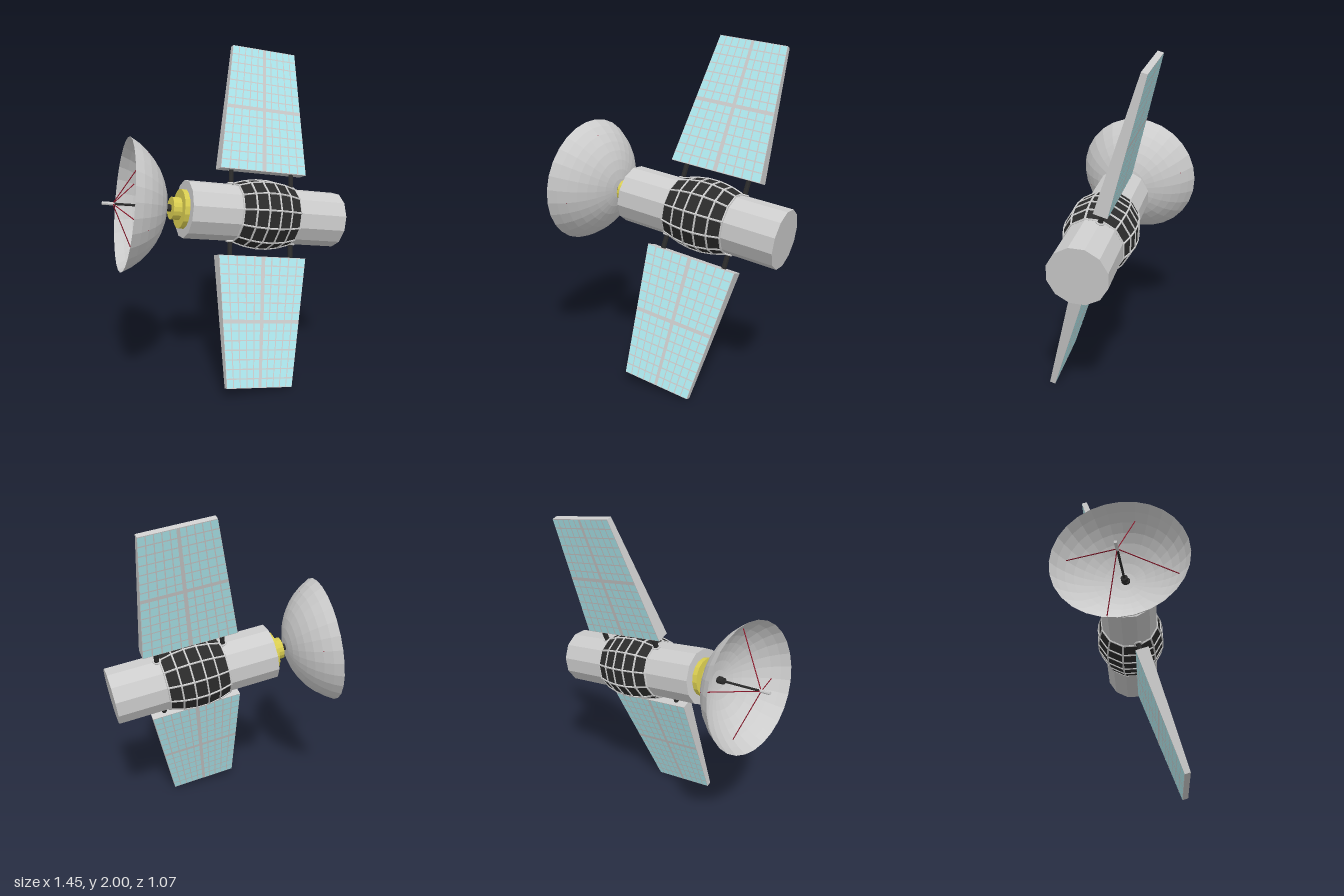
import * as THREE from 'three';
import { mergeGeometries } from 'three/addons/utils/BufferGeometryUtils.js';

const V = (x, y, z) => new THREE.Vector3(x, y, z);
const mat = (color, extra = {}) => new THREE.MeshStandardMaterial({ color, flatShading: true, ...extra });
const grey = mat(0xcccccc);
const greyThin = mat(0xcccccc, { side: THREE.DoubleSide });
const dark = mat(0x2b2b2b);
const yellow = mat(0xd8cc50);
const cyan = mat(0xaeeaf0);
const lineGrey = mat(0xbcbcbc);
const red = mat(0x8a1528);

function add(parent, name, geometry, material) {
  const mesh = new THREE.Mesh(geometry, material);
  mesh.name = name;
  parent.add(mesh);
  return mesh;
}

// Round bar running from p to q
function bar(p, q, r, sides = 8) {
  const dir = q.clone().sub(p);
  const g = new THREE.CylinderGeometry(r, r, dir.length(), sides);
  g.applyQuaternion(new THREE.Quaternion().setFromUnitVectors(V(0, 1, 0), dir.clone().normalize()));
  const m = p.clone().add(q).multiplyScalar(0.5);
  return g.translate(m.x, m.y, m.z);
}

// Cylinder along the body axis (local x)
function axial(r, x0, x1, sides) {
  return bar(V(x0, 0, 0), V(x1, 0, 0), r, sides);
}

// Tapered solar panel: s runs across (-1..1), v runs outward (0..1)
const IN = 0.256, OUT = 1.022;
const halfWidth = v => THREE.MathUtils.lerp(0.284, 0.209, v);
const halfThick = v => THREE.MathUtils.lerp(0.04, 0.017, v);

function patch(s0, s1, v0, v1, side, lift) {
  const at = (s, v) => [s * halfWidth(v), THREE.MathUtils.lerp(IN, OUT, v), side * (halfThick(v) + lift)];
  const a = at(s0, v0), b = at(s1, v0), c = at(s1, v1), d = at(s0, v1);
  const order = side > 0 ? [a, b, c, a, c, d] : [a, c, b, a, d, c];
  const g = new THREE.BufferGeometry();
  g.setAttribute('position', new THREE.Float32BufferAttribute(order.flat(), 3));
  g.computeVertexNormals();
  return g;
}

function solarPanel() {
  const panel = new THREE.Group();
  const slab = new THREE.BoxGeometry(2, 1, 2);
  const p = slab.attributes.position;
  for (let i = 0; i < p.count; i++) {
    const v = p.getY(i) + 0.5;
    p.setXYZ(i, p.getX(i) * halfWidth(v), THREE.MathUtils.lerp(IN, OUT, v), p.getZ(i) * halfThick(v));
  }
  add(panel, 'panelSlab', slab, grey);

  // Cell faces and their grid on both sides
  const cells = [], lines = [];
  const columns = 10, rows = 14;
  for (const side of [1, -1]) {
    cells.push(patch(-0.99, 0.99, 0.005, 0.995, side, 0.001));
    for (let i = 1; i < columns; i++) {
      const s = -1 + 2 * i / columns, w = i === columns / 2 ? 0.045 : 0.014;
      lines.push(patch(s - w, s + w, 0.005, 0.995, side, 0.002));
    }
    for (let j = 1; j < rows; j++) {
      const v = j / rows, w = j === rows / 2 ? 0.014 : 0.0045;
      lines.push(patch(-0.99, 0.99, v - w, v + w, side, 0.0025));
    }
  }
  add(panel, 'solarCells', mergeGeometries(cells), cyan);
  add(panel, 'cellGrid', mergeGeometries(lines), lineGrey);

  // Two struts with collars at the body
  for (const x of [-0.2, 0.2]) {
    add(panel, 'strut', bar(V(x, 0.15, 0), V(x, 0.29, 0), 0.015), dark);
    const collar = add(panel, 'strutCollar', new THREE.TorusGeometry(0.021, 0.006, 6, 14), grey);
    collar.rotation.x = Math.PI / 2;
    collar.position.set(x, 0.172, 0);
  }
  return panel;
}

// Bulging dark middle section with a raised grid
function bulge() {
  const group = new THREE.Group();
  group.name = 'middleSection';
  const sides = 12, bands = 5, half = 0.185;
  const profile = [];
  for (let i = 0; i <= bands; i++) {
    const t = -1 + 2 * i / bands;
    profile.push(new THREE.Vector2(0.174 + 0.034 * (1 - t * t), t * half));
  }
  add(group, 'darkCells', new THREE.LatheGeometry(profile, sides).rotateZ(-Math.PI / 2), dark);
  const at = (i, k) => {
    const a = k / sides * Math.PI * 2;
    return V(profile[i].y, profile[i].x * Math.cos(a), profile[i].x * Math.sin(a));
  };
  const ribs = [];
  for (let k = 0; k < sides; k++) {
    for (let i = 0; i <= bands; i++) {
      ribs.push(bar(at(i, k), at(i, k + 1), 0.006, 5));
      if (i < bands) ribs.push(bar(at(i, k), at(i + 1, k), 0.006, 5));
    }
  }
  add(group, 'ribs', mergeGeometries(ribs), grey);
  return group;
}

// Dish: origin at the rim centre, opening toward local +y
function dish() {
  const group = new THREE.Group();
  group.name = 'dishAntenna';
  const rim = 0.383, depth = 0.24;
  const R = (rim * rim + depth * depth) / (2 * depth);
  const surface = r => R - depth - Math.sqrt(R * R - r * r);
  const profile = [];
  const maxAngle = Math.asin(rim / R);
  for (let i = 0; i <= 8; i++) {
    const r = R * Math.sin(maxAngle * i / 8);
    profile.push(new THREE.Vector2(r, surface(r)));
  }
  add(group, 'reflector', new THREE.LatheGeometry(profile, 28), greyThin);
  add(group, 'feedBase', bar(V(0, -depth - 0.02, 0), V(0, -depth + 0.045, 0), 0.02, 10), dark);
  add(group, 'feedRod', bar(V(0, -depth, 0), V(0, 0.07, 0), 0.007), dark);
  add(group, 'feedTip', bar(V(0, 0.055, 0), V(0, 0.125, 0), 0.01), grey);
  // Four stay wires
  for (let k = 0; k < 4; k++) {
    const a = THREE.MathUtils.degToRad(77 + 90 * k), r = 0.32;
    add(group, 'stayWire', bar(V(0, 0.065, 0), V(r * Math.cos(a), surface(r), -r * Math.sin(a)), 0.003, 5), red);
  }
  return group;
}

export function createModel() {
  const model = new THREE.Group();
  model.name = 'satellite';

  // Tilted frame: x along the body, y along the panels, z out of the cells
  const a = V(0.896, -0.142, 0.421).normalize();
  const n = a.clone().cross(V(0.2506, 0.944, -0.215)).normalize();
  const u = n.clone().cross(a);
  const craft = new THREE.Group();
  craft.name = 'craft';
  craft.quaternion.setFromRotationMatrix(new THREE.Matrix4().makeBasis(a, u, n));
  craft.position.set(0.21, 1.005, 0.1725);
  model.add(craft);

  const L = 0.493;
  add(craft, 'body', axial(0.17, -L, L, 12), grey);
  craft.add(bulge());
  for (const [name, turn] of [['upperPanel', 0], ['lowerPanel', Math.PI]]) {
    const panel = solarPanel();
    panel.name = name;
    panel.rotation.z = turn;
    craft.add(panel);
  }

  // Dish mount
  add(craft, 'mountFlange', axial(0.115, -L - 0.03, -L + 0.01, 16), yellow);
  add(craft, 'mountHub', axial(0.066, -L - 0.08, -L, 16), yellow);
  add(craft, 'mountRod', axial(0.02, -L - 0.125, -L - 0.05, 10), dark);

  const d = V(-0.853, 0.122, -0.507).normalize();
  const t = V(0, 1, 0).cross(d).normalize();
  const antenna = dish();
  antenna.quaternion.setFromRotationMatrix(new THREE.Matrix4().makeBasis(t, d, t.clone().cross(d)));
  antenna.position.set(-0.528, 1.12, -0.208);
  model.add(antenna);
  return model;
}
